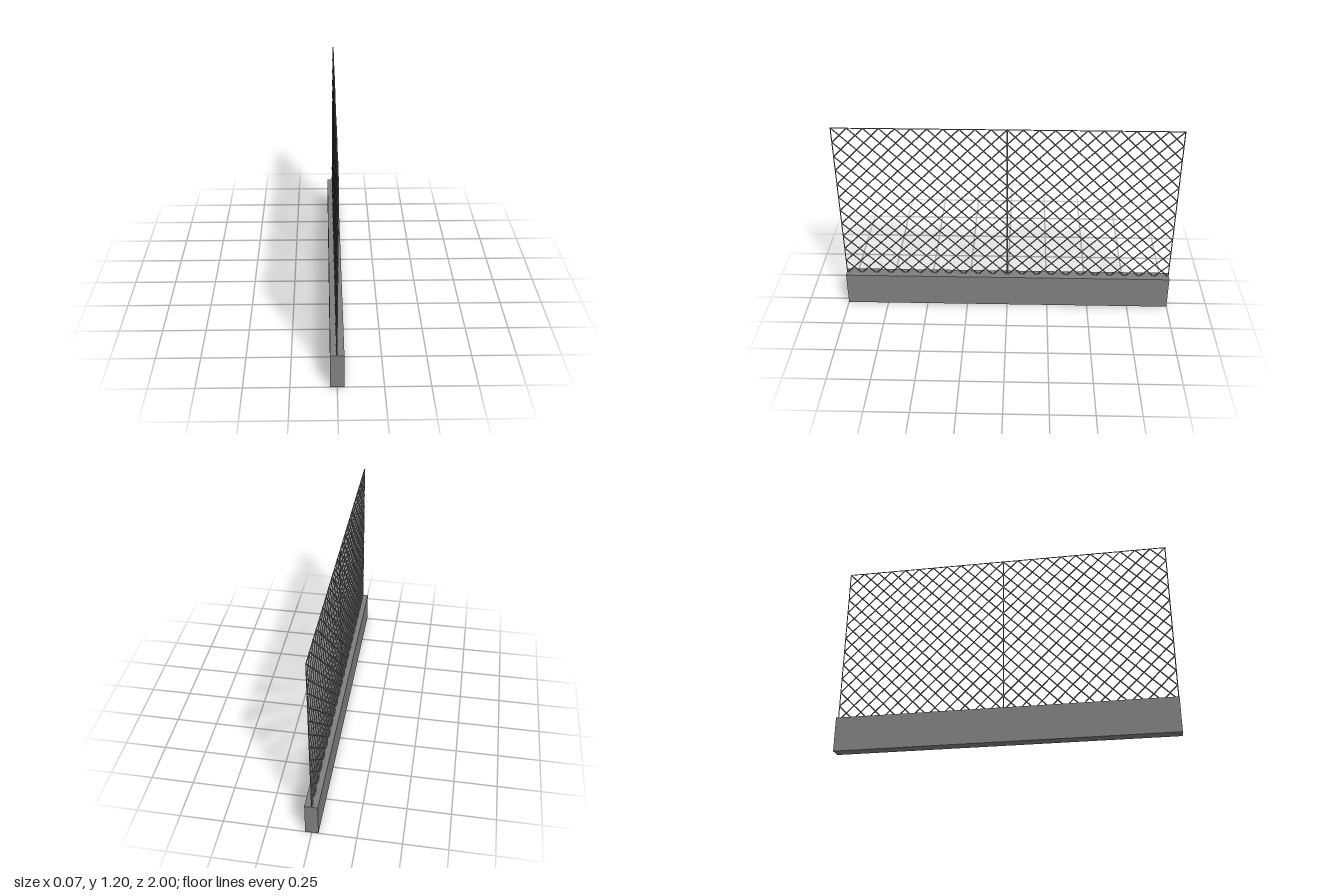
import * as THREE from 'three';

const material = new THREE.MeshStandardMaterial({ color: 0x808080, flatShading: true });
const BOTTOM = 0.2, TOP = 1.197, WIRE = 0.004, FRAME = 0.003;
const CELLS = 11;

// Straight wire between two points (y, z) in the fence plane
function addWire(parent, name, x, y0, z0, y1, z1, radius) {
  const length = Math.hypot(y1 - y0, z1 - z0);
  const mesh = new THREE.Mesh(new THREE.CylinderGeometry(radius, radius, length, 6), material);
  mesh.name = name;
  mesh.position.set(x, (y0 + y1) / 2, (z0 + z1) / 2);
  mesh.rotation.x = Math.atan2(z1 - z0, y1 - y0);
  parent.add(mesh);
}

// Panel of crossed 45 degree wires, clipped to its rectangle
function createPanel(zMin, zMax) {
  const panel = new THREE.Group();
  panel.name = 'meshPanel';
  const pitch = (zMax - zMin) / CELLS;
  for (const dir of [1, -1]) {
    for (let i = -CELLS; i <= 2 * CELLS; i++) {
      // Each wire follows z = zTop + dir * (TOP - y)
      const zTop = zMin + i * pitch;
      const dropA = (zMin - zTop) * dir;
      const dropB = (zMax - zTop) * dir;
      const start = Math.max(0, Math.min(dropA, dropB));
      const end = Math.min(TOP - BOTTOM, Math.max(dropA, dropB));
      if (end - start < 0.01) continue;
      addWire(panel, 'diagonalWire', dir * 0.001,
        TOP - start, zTop + dir * start, TOP - end, zTop + dir * end, WIRE);
    }
  }
  return panel;
}

export function createModel() {
  const model = new THREE.Group();
  model.name = 'fence';

  // Solid wall at the foot
  const wall = new THREE.Mesh(new THREE.BoxGeometry(0.074, 0.207, 2), material);
  wall.name = 'baseWall';
  wall.position.y = 0.1035;
  model.add(wall);

  // Wire fence, leaning very slightly
  const fence = new THREE.Group();
  fence.name = 'wireFence';
  fence.position.x = -0.004;
  fence.rotation.z = -0.006;
  model.add(fence);
  for (const z of [-0.997, 0, 0.997]) addWire(fence, 'post', 0, 0.19, z, 1.2, z, z ? FRAME : WIRE);
  addWire(fence, 'topRail', 0, TOP, -1, TOP, 1, FRAME);
  fence.add(createPanel(-0.997, 0), createPanel(0, 0.997));

  return model;
}
